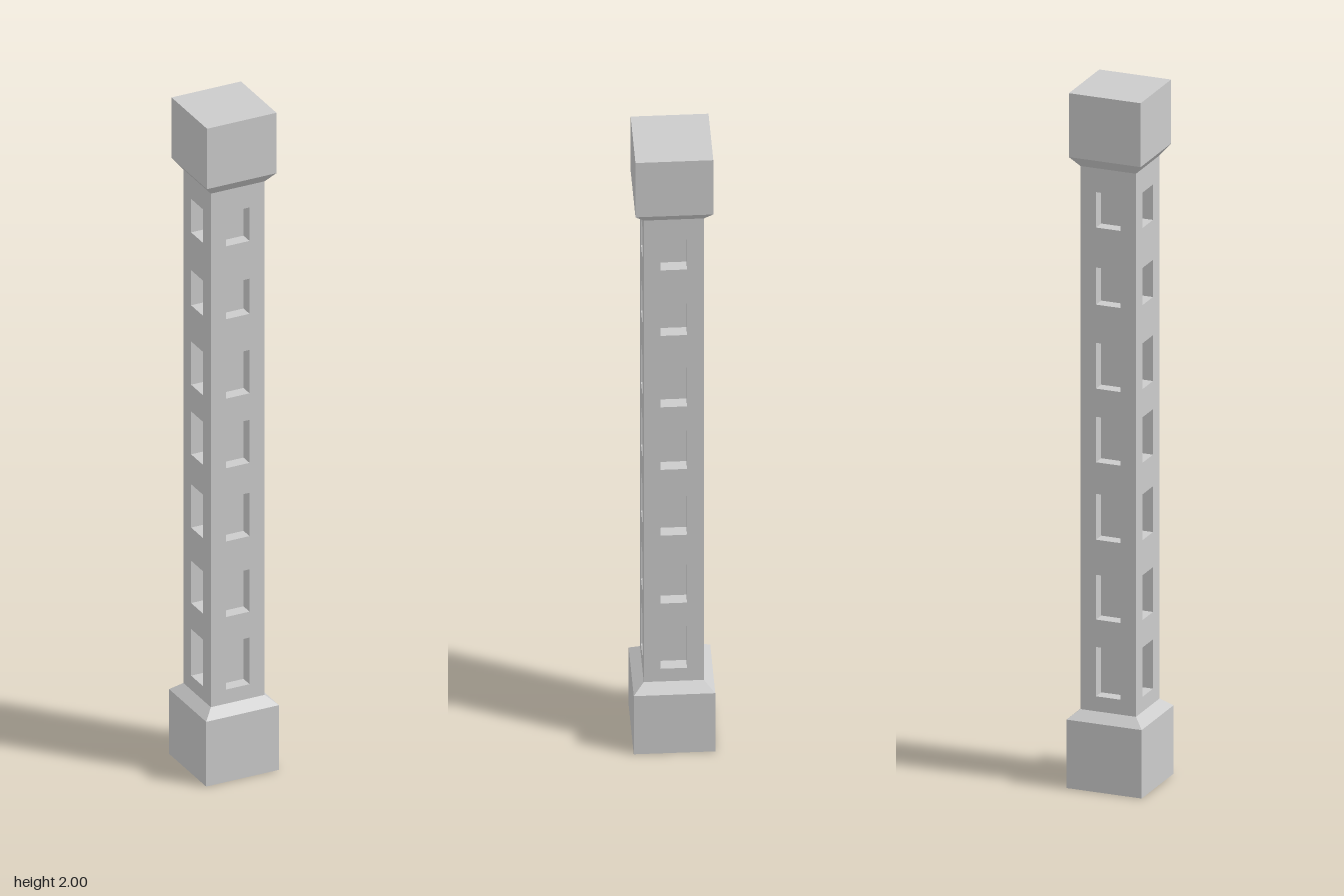
import * as THREE from 'three';

const material = new THREE.MeshStandardMaterial({ color: 0xcccccc, flatShading: true });

// Square block turned from a half-width/height profile, listed bottom to top
function squareBlock(name, profile) {
  const points = profile.map(([half, y]) => new THREE.Vector2(half * Math.SQRT2, y));
  const mesh = new THREE.Mesh(new THREE.LatheGeometry(points, 4, Math.PI / 4), material);
  mesh.name = name;
  return mesh;
}

function rectangle(target, x0, x1, y0, y1) {
  target.moveTo(x0, y0);
  target.lineTo(x1, y0);
  target.lineTo(x1, y1);
  target.lineTo(x0, y1);
  target.closePath();
  return target;
}

export function createModel() {
  const group = new THREE.Group();
  group.name = 'pillar';

  const half = 0.082; // shaft half width
  const recess = 0.036; // window depth
  const windowHalf = 0.036;
  const bottom = 0.222, top = 1.786;
  const windows = [
    [0.265, 0.407], [0.486, 0.615], [0.716, 0.848], [0.939, 1.07],
    [1.151, 1.283], [1.393, 1.5], [1.615, 1.717],
  ];

  // Base and capital with their chamfers
  group.add(squareBlock('base', [[0, 0], [0.111, 0], [0.111, 0.197], [half, 0.222], [0, 0.222]]));
  group.add(squareBlock('capital', [[0, 1.786], [half, 1.786], [0.106, 1.816], [0.106, 2], [0, 2]]));

  // Solid core forming the backs of the window recesses
  const coreSize = 2 * (half - recess);
  const core = new THREE.Mesh(new THREE.BoxGeometry(coreSize, top - bottom, coreSize), material);
  core.name = 'shaftCore';
  core.position.y = (top + bottom) / 2;
  group.add(core);

  // Four pierced walls, interlocking at the corners
  const wallShape = rectangle(new THREE.Shape(), -half, half - recess, bottom, top);
  for (const [y0, y1] of windows) {
    wallShape.holes.push(rectangle(new THREE.Path(), -windowHalf, windowHalf, y0, y1));
  }
  const wallGeometry = new THREE.ExtrudeGeometry(wallShape, { depth: recess, bevelEnabled: false });
  wallGeometry.translate(0, 0, half - recess);
  ['front', 'left', 'back', 'right'].forEach((side, i) => {
    const wall = new THREE.Mesh(wallGeometry, material);
    wall.name = side + 'Wall';
    wall.rotation.y = i * Math.PI / 2;
    group.add(wall);
  });

  return group;
}
